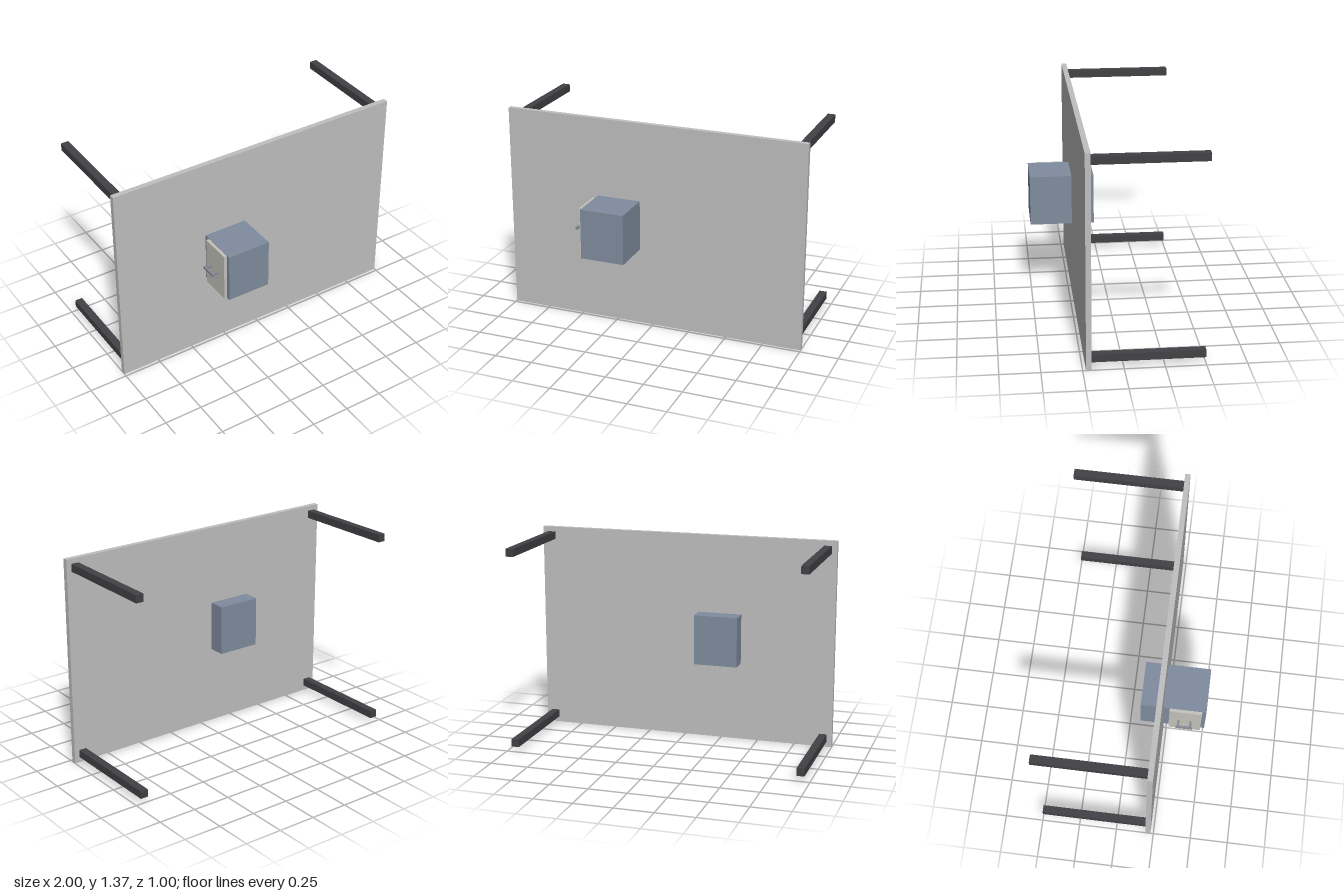
import * as THREE from 'three';

const material = (name, color) => {
  const m = new THREE.MeshStandardMaterial({ color });
  m.name = name;
  return m;
};

export function createModel() {
  const model = new THREE.Group();
  model.name = 'deskOnItsSide';
  const panelGrey = material('panelGrey', 0xc0c0c0);
  const legCharcoal = material('legCharcoal', 0x424246);
  const cabinetBlue = material('cabinetBlue', 0x808d9f);
  const drawerBeige = material('drawerBeige', 0xc4c4bc);
  const handleSteel = material('handleSteel', 0x858a94);

  // Box given by its minimum and maximum corners
  const box = (name, mat, min, max, parent = model) => {
    const size = max.map((v, i) => v - min[i]);
    const mesh = new THREE.Mesh(new THREE.BoxGeometry(...size), mat);
    mesh.position.set(...max.map((v, i) => (v + min[i]) / 2));
    mesh.name = name;
    parent.add(mesh);
  };

  // Upright table top
  box('tableTop', panelGrey, [-1, 0, 0.196], [1, 1.367, 0.23]);

  // Four legs pointing backwards
  for (const x of [-0.941, 0.941])
    for (const y of [0.06, 1.31])
      box('leg', legCharcoal, [x - 0.025, y - 0.025, -0.502], [x + 0.025, y + 0.025, 0.196]);

  // Cabinet passing through the top
  box('cabinet', cabinetBlue, [-0.38, 0.52, 0.085], [-0.09, 0.85, 0.502]);

  // Drawer front on the right side of the cabinet
  box('drawerFront', drawerBeige, [-0.4, 0.523, 0.27], [-0.38, 0.847, 0.476]);

  // Handle: two posts and a bar
  const handle = new THREE.Group();
  handle.name = 'drawerHandle';
  model.add(handle);
  for (const z of [0.332, 0.41])
    box('handlePost', handleSteel, [-0.44, 0.679, z - 0.007], [-0.4, 0.693, z + 0.007], handle);
  box('handleBar', handleSteel, [-0.451, 0.678, 0.318], [-0.437, 0.694, 0.424], handle);

  return model;
}
